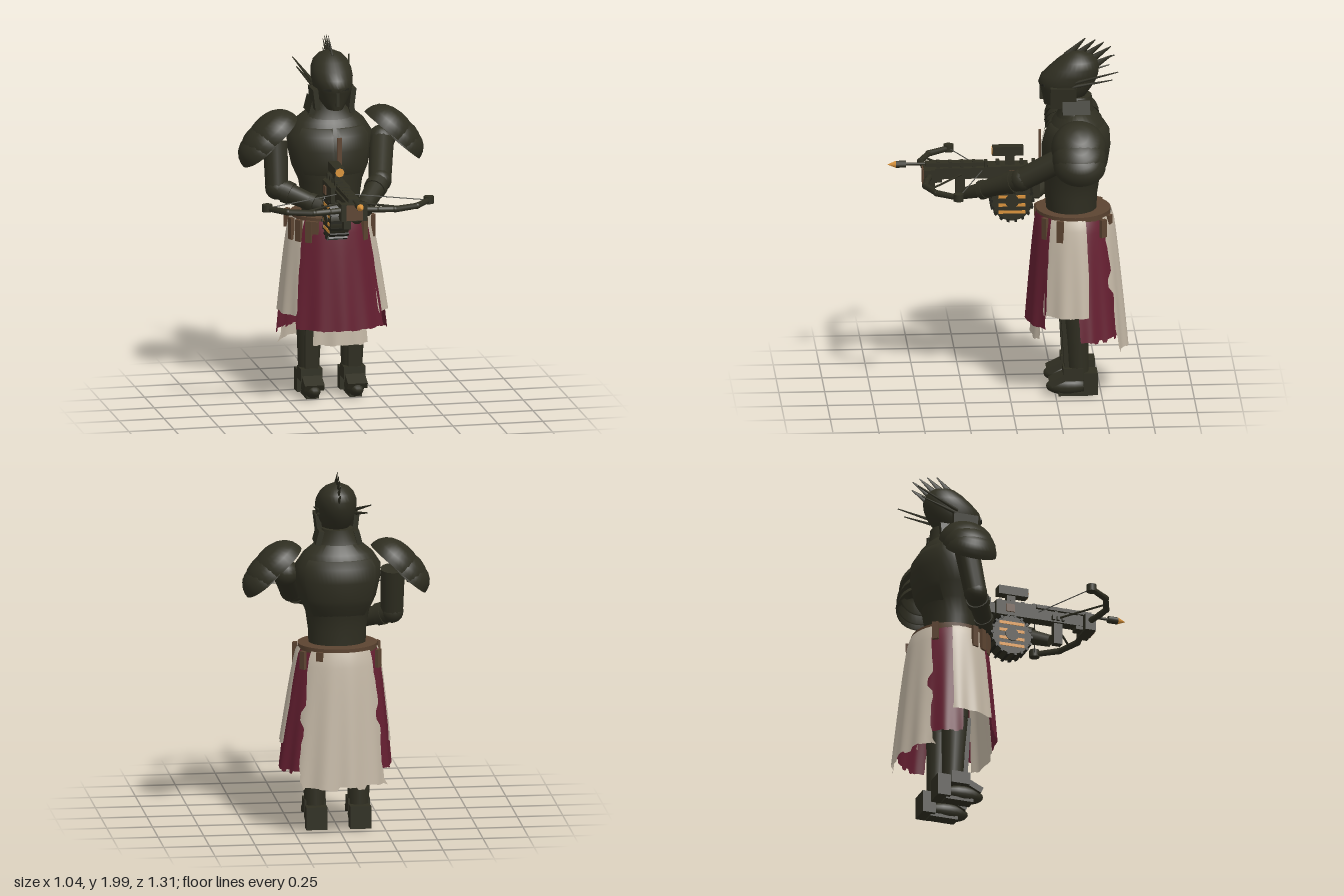
import * as THREE from 'three';
import { toCreasedNormals } from 'three/addons/utils/BufferGeometryUtils.js';

const mat = (name, color, side = THREE.FrontSide) => {
  const m = new THREE.MeshStandardMaterial({ color, side });
  m.name = name;
  return m;
};
const V = (x, y, z) => new THREE.Vector3(x, y, z);
const hash = (n) => { const s = Math.sin(n * 127.1 + 11.7) * 43758.5453; return s - Math.floor(s); };
const DEG = Math.PI / 180;

export function createModel() {
  const root = new THREE.Group();
  root.name = 'armouredCrossbowman';
  const armour = mat('darkArmour', 0x2f2e21);
  const shade = mat('blackMetal', 0x22221a);
  const cord = mat('greyCord', 0x54544e);
  const leather = mat('brownLeather', 0x5c4431);
  const brass = mat('orangeBrass', 0xd9923a);
  const crimson = mat('crimsonCloth', 0x651f31, THREE.DoubleSide);
  const cream = mat('creamCloth', 0xc2b6a4, THREE.DoubleSide);

  const add = (name, geo, material, x = 0, y = 0, z = 0, parent = root) => {
    const m = new THREE.Mesh(geo, material);
    m.name = name;
    m.position.set(x, y, z);
    parent.add(m);
    return m;
  };
  const box = (name, material, w, h, d, x, y, z) => add(name, new THREE.BoxGeometry(w, h, d), material, x, y, z);
  // Tapered rod between two points
  const rod = (name, material, a, b, r0, r1 = r0, seg = 14) => {
    const d = b.clone().sub(a);
    const m = add(name, new THREE.CylinderGeometry(r1, r0, d.length(), seg), material);
    m.position.copy(a).addScaledVector(d, 0.5);
    m.quaternion.setFromUnitVectors(V(0, 1, 0), d.normalize());
    return m;
  };
  const ball = (name, material, r, x, y, z) => add(name, new THREE.SphereGeometry(r, 18, 12), material, x, y, z);

  // Elliptical rings [y, halfWidth, zFront, zBack], bottom to top, over an angle range (0 = front)
  const loft = (rings, a0 = -180, a1 = 180, grow = 0, n = 32) => {
    const pos = [], idx = [];
    rings.forEach(([y, rx, zf, zb], j) => {
      for (let i = 0; i <= n; i++) {
        const a = (a0 + (a1 - a0) * i / n) * DEG;
        pos.push(Math.sin(a) * (rx + grow), y, (zf + zb) / 2 + Math.cos(a) * ((zf - zb) / 2 + grow));
        if (j && i < n) {
          const p = (j - 1) * (n + 1) + i, q = p + n + 1;
          idx.push(p, p + 1, q, p + 1, q + 1, q);
        }
      }
    });
    const g = new THREE.BufferGeometry();
    g.setAttribute('position', new THREE.Float32BufferAttribute(pos, 3));
    g.setIndex(idx);
    return toCreasedNormals(g, 0.75);
  };

  // Torso with raised chest and back plates
  const torso = [[1.0, 0.155, -0.21, -0.48], [1.12, 0.16, -0.2, -0.485], [1.22, 0.175, -0.195, -0.5],
    [1.3, 0.21, -0.19, -0.53], [1.4, 0.232, -0.19, -0.545], [1.48, 0.235, -0.21, -0.54],
    [1.55, 0.19, -0.25, -0.51], [1.6, 0.13, -0.29, -0.465], [1.605, 0, -0.37, -0.37]];
  add('torso', loft(torso), armour);
  const rimmed = [[1.27, 0.19, -0.21, -0.51], [1.27, 0.2, -0.2, -0.52], ...torso.slice(3, 6),
    [1.52, 0.21, -0.235, -0.515], [1.525, 0.195, -0.25, -0.5]];
  for (const s of [-1, 1]) add('chestPlate', loft(rimmed, s > 0 ? 3 : -52, s > 0 ? 52 : -3, 0.01, 12), armour);
  add('backPlate', loft([[1.2, 0.165, -0.2, -0.48], ...rimmed.slice(1)], 128, 232, 0.012, 18), armour);
  box('chestStrap', leather, 0.025, 0.21, 0.012, 0.015, 1.38, -0.172);

  // Neck, gorget and helmet
  add('gorget', loft([[1.56, 0.165, -0.26, -0.48], [1.62, 0.11, -0.285, -0.46], [1.68, 0.085, -0.29, -0.455], [1.68, 0, -0.37, -0.37]]), armour);
  add('helmet', loft([[1.63, 0, -0.26, -0.26], [1.632, 0.045, -0.195, -0.34], [1.68, 0.08, -0.186, -0.42],
    [1.73, 0.102, -0.174, -0.455], [1.76, 0.108, -0.163, -0.475], [1.8, 0.113, -0.178, -0.49], [1.84, 0.11, -0.22, -0.495],
    [1.88, 0.094, -0.265, -0.485], [1.91, 0.066, -0.305, -0.455], [1.928, 0.025, -0.345, -0.41], [1.93, 0, -0.38, -0.38]]), armour, 0.006);
  box('noseGuard', armour, 0.018, 0.1, 0.02, 0.006, 1.71, -0.182);
  for (const s of [-1, 1]) {
    box('cheekPlate', armour, 0.028, 0.115, 0.14, s * 0.1, 1.69, -0.295).rotation.z = s * -0.12;
    box('collarPlate', armour, 0.03, 0.08, 0.15, s * 0.105, 1.635, -0.365).rotation.z = s * 0.25;
    box('eyeSlit', shade, 0.045, 0.012, 0.008, s * 0.05, 1.752, -0.184).rotation.y = s * 0.4;
    // Swept-back side fins
    for (const [y, tx, ty, tz] of [[1.77, 0.157, 1.85, -0.59], [1.75, 0.14, 1.8, -0.56]])
      rod('sideFin', armour, V(s * 0.1, y, -0.34), V(s * tx, ty, tz), 0.011, 0.003, 6);
  }
  // Crest of thin blades along the crown
  [[1.9, -0.32, 2.0, -0.42], [1.9, -0.37, 1.99, -0.475], [1.89, -0.41, 1.975, -0.52], [1.87, -0.44, 1.95, -0.56],
    [1.84, -0.46, 1.9, -0.565]].forEach(([y, z, ty, tz]) => {
    rod('crestSpike', armour, V(0.006, y, z), V(0.006, ty, tz), 0.025, 0.003, 6).scale.x = 0.35;
  });

  // Layered hollow pauldrons
  const shell = [[0, 0.083], [0.4, 0.072], [0.75, 0.04], [0.95, 0.002], [1, 0], [0.985, 0.022], [0.92, 0.052], [0.78, 0.082],
    [0.58, 0.104], [0.32, 0.118], [0, 0.123]].map(([r, y]) => new THREE.Vector2(r, y));
  const dome = toCreasedNormals(new THREE.LatheGeometry(shell, 32), 0.9);
  for (const s of [-1, 1]) {
    const pad = new THREE.Group();
    pad.name = 'pauldron';
    pad.position.set(s * 0.354 + 0.008, 1.435, -0.365);
    pad.rotation.z = s * -0.7;
    root.add(pad);
    [[-0.055, 0, 0.158, 0.15, 1], [0.012, -0.004, 0.145, 0.147, 0.95], [0.056, -0.012, 0.13, 0.142, 0.88]].forEach(([x, y, rx, rz, h]) => {
      add('pauldronLame', dome, armour, s * x, y, 0, pad).scale.set(rx, h, rz);
    });
  }

  // Arms
  const arm = (shoulder, elbow, wrist, hand) => {
    rod('upperArm', armour, shoulder, elbow, 0.068, 0.062);
    ball('elbow', armour, 0.064, ...elbow);
    rod('forearm', armour, elbow, wrist, 0.06, 0.046);
    const dir = wrist.clone().sub(elbow).normalize();
    rod('elbowCuff', armour, elbow.clone().addScaledVector(dir, 0.05), elbow.clone().addScaledVector(dir, 0.09), 0.064, 0.062);
    rod('wristCuff', armour, wrist.clone().addScaledVector(dir, -0.03), wrist, 0.053);
    rod('hand', armour, wrist, hand, 0.042, 0.034, 8);
  };
  const leftShoulder = V(0.285, 1.43, -0.34);
  ball('shoulder', armour, 0.075, ...leftShoulder);
  arm(leftShoulder, V(0.215, 1.265, -0.06), V(0.075, 1.165, 0.155), V(0.015, 1.13, 0.24));
  arm(V(-0.303, 1.44, -0.36), V(-0.305, 1.19, -0.31), V(-0.12, 1.12, -0.19), V(-0.05, 1.1, -0.15));

  // Belt with hanging tabs
  add('belt', loft([[1.005, 0.21, -0.16, -0.55], [1.04, 0.212, -0.158, -0.552], [1.042, 0.14, -0.23, -0.47]], -180, 180, 0.006), leather);
  for (const [a, h, out] of [[-56, 0.12, 0.02], [-40, 0.12, 0.015], [-31, 0.07, 0.015], [42, 0.12, 0.015], [68, 0.12, 0.02],
    [-72, 0.12, 0.02], [128, 0.1, 0.04], [-128, 0.1, 0.04], [150, 0.05, 0.015]]) {
    const t = a * DEG;
    box('beltTab', leather, 0.036, h, 0.02, Math.sin(t) * (0.222 + out), 1.025 - h / 2, -0.355 + Math.cos(t) * (0.205 + out)).rotation.y = t;
  }

  // Ragged cloth panels draped around the hips
  const cloth = (name, material, a0, a1, yBot, rag, fray, grow, seed) => {
    const n = 40, rows = 18;
    const g = new THREE.PlaneGeometry(1, 1, n, rows), p = g.attributes.position;
    for (let k = 0; k < p.count; k++) {
      const u = p.getX(k) + 0.5, v = 0.5 - p.getY(k), row = Math.round(v * rows), col = Math.round(u * n);
      const edge = (hash(Math.floor(row / 2) + seed) - 0.5) * fray * v * Math.pow(Math.abs(2 * u - 1), 6);
      const a = (a0 + (a1 - a0) * u + edge) * DEG;
      const bottom = yBot + rag * hash(Math.floor(col / 4) * 3 + seed * 7);
      const y = 1.022 + (bottom - 1.022) * v, t = (1.022 - y) / 0.7;
      const f = 1 + 0.022 * t * Math.sin(a * 14 + seed);
      const flare = 0.5 * Math.pow(t, 0.5) + 0.5 * t;
      const rx = (0.216 + 0.105 * flare + grow) * f;
      const rz = (0.197 + (Math.cos(a) > 0 ? 0.068 : 0.083) * flare + grow) * f;
      p.setXYZ(k, Math.sin(a) * rx + 0.02 * t, y, -0.355 + Math.cos(a) * rz);
    }
    g.computeVertexNormals();
    add(name, g, material);
  };
  cloth('frontUnderskirt', cream, -32, 32, 0.33, 0.01, 0, -0.03, 3);
  cloth('frontSkirt', crimson, -50, 50, 0.415, 0.01, 2, 0.004, 1);
  cloth('backSkirt', cream, 135, 225, 0.265, 0.035, 22, 0.012, 5);
  for (const s of [-1, 1]) {
    cloth('sideSkirt', cream, s * 46, s * 106, 0.49, 0.008, 3, 0, 8 + s);
    cloth('rearSideSkirt', crimson, s * 94, s * 152, 0.345, 0.02, 3, -0.004, 12 + s);
  }

  // Legs and boots
  for (const s of [-1, 1]) {
    const x = s * 0.12 + 0.006;
    rod('thigh', armour, V(s * 0.1, 1.0, -0.35), V(x, 0.5, -0.36), 0.09, 0.073);
    rod('shin', armour, V(x, 0.5, -0.36), V(x, 0.1, -0.375), 0.073, 0.055);
    box('shinGuard', armour, 0.07, 0.34, 0.025, x, 0.34, -0.3).rotation.x = 0.06;
    box('ankleGuard', armour, 0.12, 0.07, 0.11, x, 0.135, -0.345);
    box('heelBlock', armour, 0.115, 0.125, 0.075, x, 0.08, -0.44);
    box('instepPlate', armour, 0.11, 0.035, 0.1, x, 0.1, -0.265).rotation.x = 0.45;
    ball('boot', armour, 1, x, 0.058, -0.315).scale.set(0.05, 0.05, 0.118);
    box('sole', armour, 0.07, 0.02, 0.16, x, 0.018, -0.345);
  }

  // Crossbow body
  const cx = -0.04;
  box('stock', armour, 0.065, 0.06, 0.63, cx, 1.235, 0.135);
  box('track', armour, 0.06, 0.02, 0.32, cx, 1.285, 0.29);
  box('receiver', armour, 0.11, 0.085, 0.22, cx, 1.235, 0.0);
  box('receiverTrim', leather, 0.125, 0.045, 0.05, cx, 1.235, -0.03);
  box('bowBlock', armour, 0.145, 0.095, 0.06, cx, 1.22, 0.43);
  box('bowBlockFace', leather, 0.09, 0.085, 0.009, cx, 1.22, 0.463);
  box('trackEnd', armour, 0.06, 0.03, 0.1, cx, 1.2, 0.41);
  box('foregrip', armour, 0.04, 0.12, 0.05, cx, 1.145, 0.26);
  box('rearGrip', armour, 0.035, 0.12, 0.04, cx, 1.15, -0.155);
  for (let i = 0; i < 9; i++) box('railTooth', armour, 0.045, 0.04, 0.018, cx, 1.28, -0.14 + i * 0.065);
  for (let i = 0; i < 3; i++) box('sideKnob', armour, 0.02, 0.025, 0.015, cx - 0.04, 1.225, 0.225 + i * 0.028);
  box('scope', armour, 0.055, 0.05, 0.17, cx, 1.355, 0);
  box('scopeMount', armour, 0.03, 0.06, 0.05, cx, 1.305, -0.01);
  rod('scopeLens', brass, V(cx, 1.355, 0.08), V(cx, 1.355, 0.088), 0.025, 0.025, 8);

  // Bolt
  rod('boltShaft', armour, V(cx, 1.285, 0.4), V(cx, 1.285, 0.57), 0.008, 0.008, 8);
  rod('boltSocket', armour, V(cx, 1.285, 0.555), V(cx, 1.285, 0.61), 0.02, 0.02, 10);
  rod('boltTip', brass, V(cx, 1.285, 0.61), V(cx, 1.285, 0.655), 0.02, 0.001, 10);

  // Bow limbs, braces and string
  const limb = [[0.06, 0.43], [0.14, 0.45], [0.225, 0.463], [0.36, 0.41], [0.45, 0.295]];
  for (const s of [-1, 1]) {
    const at = ([x, z]) => V(cx + s * x, 1.23, z);
    for (let i = 1; i < limb.length; i++) {
      rod('bowLimb', armour, at(limb[i - 1]), at(limb[i]), 0.018, 0.016, 8);
      if (i < 4) ball('limbJoint', armour, 0.018, ...at(limb[i]));
    }
    const tip = at(limb[4]);
    rod('limbCap', armour, V(tip.x, 1.212, tip.z), V(tip.x, 1.252, tip.z), 0.028);
    rod('limbBrace', armour, at([0.278, 0.43]), at([0.03, 0.255]), 0.006, 0.006, 6);
    rod('bowString', cord, tip, V(cx + s * 0.01, 1.25, 0.135), 0.003, 0.003, 5);
  }

  // Drum magazine
  const dy = 1.08, dz = -0.02;
  rod('drum', armour, V(cx - 0.05, dy, dz), V(cx + 0.05, dy, dz), 0.112, 0.112, 28);
  for (let i = 0; i < 18; i++) {
    const a = i / 18 * Math.PI * 2;
    box('drumRib', shade, 0.106, 0.014, 0.018, cx, dy + Math.sin(a) * 0.113, dz + Math.cos(a) * 0.113).rotation.x = -a;
  }
  for (const s of [-1, 1]) {
    for (const y of [0.067, 0.023, -0.023, -0.063])
      box('drumSlot', brass, 0.006, 0.017, 0.145, cx + s * 0.05, dy + y, dz);
    rod('drumHub', armour, V(cx, dy, dz), V(cx + s * 0.057, dy, dz), 0.038, 0.038, 12);
  }
  return root;
}
